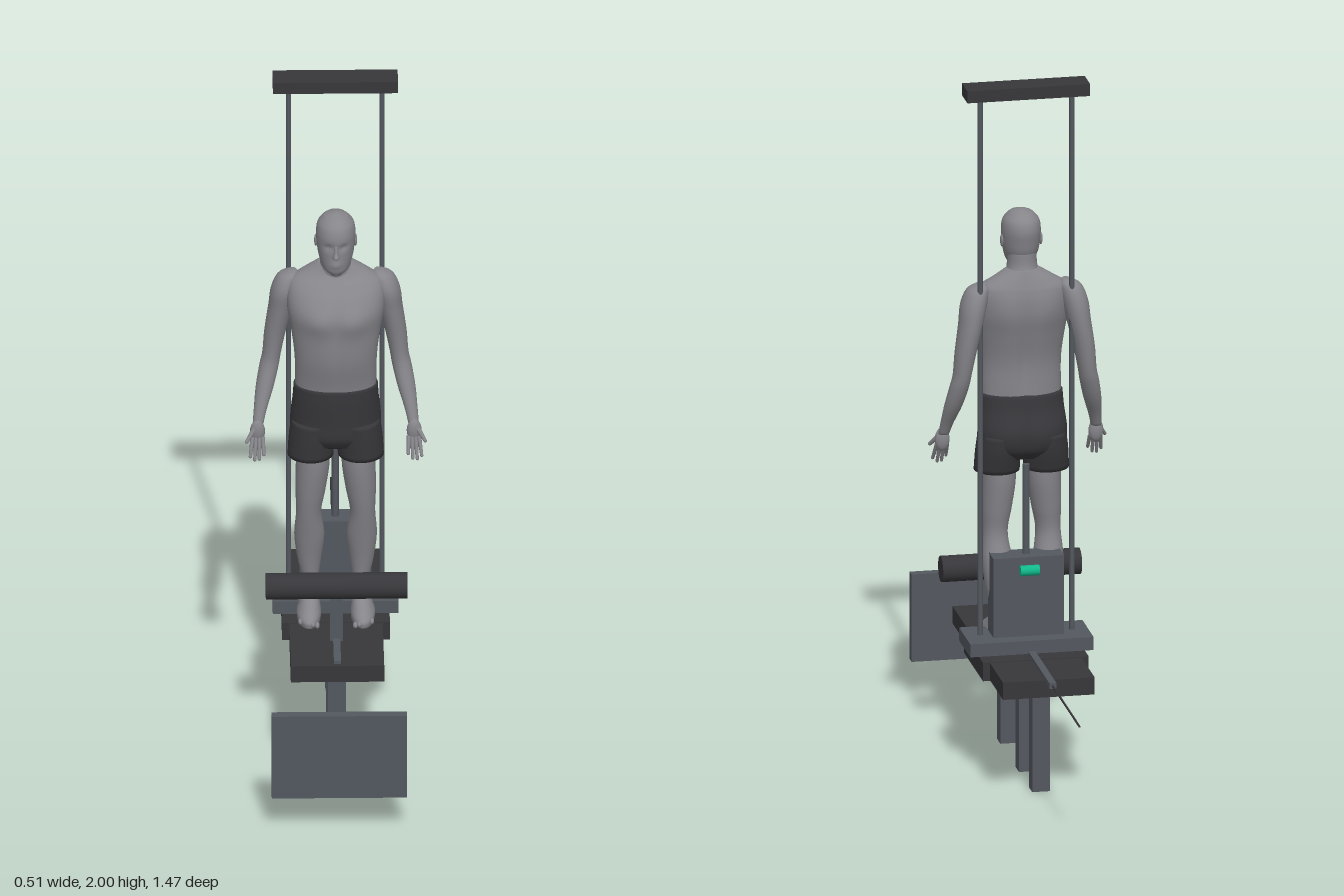
import * as THREE from 'three';

const mat = (name, color) => Object.assign(new THREE.MeshStandardMaterial({ color }), { name });

export function createModel() {
  const skin = mat('greySkin', 0x85858a);
  const dark = mat('charcoal', 0x37363a);
  const steel = mat('steel', 0x53585f);
  const teal = mat('tealAccent', 0x10b88a);

  const model = new THREE.Group();
  model.name = 'exerciseMachineWithFigure';
  const machine = new THREE.Group();
  machine.name = 'machine';
  const figure = new THREE.Group();
  figure.name = 'figure';
  model.add(machine, figure);

  const add = (parent, name, geo, material, x = 0, y = 0, z = 0) => {
    const m = new THREE.Mesh(geo, material);
    m.name = name;
    m.position.set(x, y, z);
    parent.add(m);
    return m;
  };
  // Box given by its half width and its y and z ranges
  const box = (name, material, hx, y0, y1, z0, z1) =>
    add(machine, name, new THREE.BoxGeometry(hx * 2, y1 - y0, z1 - z0), material, 0, (y0 + y1) / 2, (z0 + z1) / 2);
  // Round rod between two points
  const rod = (parent, name, material, a, b, r0, r1 = r0, n = 16) => {
    const p = new THREE.Vector3(...a), q = new THREE.Vector3(...b);
    const mid = p.clone().add(q).multiplyScalar(0.5);
    const m = add(parent, name, new THREE.CylinderGeometry(r1, r0, p.distanceTo(q), n), material, mid.x, mid.y, mid.z);
    m.quaternion.setFromUnitVectors(new THREE.Vector3(0, 1, 0), q.sub(p).normalize());
    return m;
  };
  const ball = (parent, name, material, p, s) =>
    add(parent, name, new THREE.SphereGeometry(1, 16, 12), material, ...p).scale.set(...s);

  // Smooth body form through elliptical sections [y, cx, cz, rx, rz], bottom to top
  const loft = (rows, side = 1, shape = null, n = 28, steps = 5) => {
    const a = new THREE.CatmullRomCurve3(rows.map(r => new THREE.Vector3(r[1] * side, r[0], r[2])));
    const b = new THREE.CatmullRomCurve3(rows.map(r => new THREE.Vector3(r[3], r[0], r[4])));
    const count = (rows.length - 1) * steps, pos = [], idx = [], v = new THREE.Vector3();
    for (let i = 0; i <= count; i++) {
      const c = a.getPoint(i / count), r = b.getPoint(i / count);
      for (let j = 0; j < n; j++) {
        const t = j / n * Math.PI * 2;
        v.set(c.x + Math.cos(t) * r.x, c.y, c.z + Math.sin(t) * r.z);
        if (shape) shape(v, Math.sin(t));
        pos.push(v.x, v.y, v.z);
      }
    }
    for (let i = 0; i < count; i++) for (let j = 0; j < n; j++) {
      const k = (j + 1) % n, p = i * n, q = p + n;
      idx.push(p + j, q + j, p + k, p + k, q + j, q + k);
    }
    const lo = rows[0], hi = rows[rows.length - 1], base = pos.length / 3;
    pos.push(lo[1] * side, lo[0], lo[2], hi[1] * side, hi[0], hi[2]);
    for (let j = 0; j < n; j++) {
      const k = (j + 1) % n, top = count * n;
      idx.push(base, j, k, base + 1, top + k, top + j);
    }
    const g = new THREE.BufferGeometry();
    g.setAttribute('position', new THREE.Float32BufferAttribute(pos, 3));
    g.setIndex(idx);
    g.computeVertexNormals();
    return g;
  };
  const bump = (dx, dy, w, h) => Math.exp(-((dx / w) ** 2) - (dy / h) ** 2);

  // Platform, rail and legs
  box('platform', dark, 0.13, 0.31, 0.36, -0.3, 0.418);
  box('platformCentre', dark, 0.15, 0.308, 0.362, -0.115, 0.155);
  box('rail', steel, 0.01, 0.352, 0.369, -0.357, 0.405);
  rod(machine, 'cable', dark, [0, 0.36, -0.35], [0, 0.36, -0.737], 0.003, 0.003, 8);
  for (const z of [0.288, 0.024, -0.165]) box('leg', steel, 0.025, 0, 0.312, z - 0.025, z + 0.025);

  // Weight tower
  box('towerBase', steel, 0.175, 0.362, 0.4, -0.06, 0.1);
  box('weightStack', steel, 0.1, 0.38, 0.63, -0.015, 0.062);
  rod(machine, 'selectorRod', steel, [0, 0.6, 0.024], [0, 0.89, 0.024], 0.01);
  rod(machine, 'selectorPin', teal, [-0.027, 0.595, -0.027], [0.027, 0.595, -0.027], 0.015);
  for (const s of [-1, 1]) rod(machine, 'guideRod', steel, [s * 0.13, 0.39, 0.024], [s * 0.13, 1.97, 0.024], 0.0075);
  box('topBar', dark, 0.174, 1.965, 2, -0.015, 0.062);

  // Shin roller and front footplate
  box('rollerPost', steel, 0.018, 0.155, 0.51, 0.231, 0.266);
  rod(machine, 'shinRoller', dark, [-0.197, 0.525, 0.25], [0.197, 0.525, 0.25], 0.037, 0.037, 32);
  box('footPanel', steel, 0.188, 0.11, 0.365, 0.709, 0.737);

  // Torso with chest, navel and spine shaping
  add(figure, 'torso', loft([
    [1.04, 0, 0.095, 0.112, 0.065], [1.1, 0, 0.1, 0.113, 0.07], [1.18, 0, 0.108, 0.115, 0.08],
    [1.26, 0, 0.103, 0.125, 0.09], [1.32, 0, 0.097, 0.135, 0.095], [1.37, 0, 0.085, 0.135, 0.082],
    [1.4, 0, 0.075, 0.125, 0.066], [1.425, 0, 0.068, 0.088, 0.05], [1.45, 0, 0.07, 0.046, 0.042],
  ], 1, (v, f) => {
    const x = Math.abs(v.x);
    if (f > 0) v.z += f * (0.01 * bump(x - 0.055, v.y - 1.31, 0.045, 0.04) - 0.006 * bump(x, v.y - 1.28, 0.012, 0.14));
    else v.z -= f * (0.012 * bump(x, v.y - 1.2, 0.02, 0.16) - 0.006 * bump(x - 0.07, v.y - 1.34, 0.04, 0.06));
  }, 48), skin);

  // Neck and head
  add(figure, 'neck', loft([
    [1.39, 0, 0.072, 0.06, 0.045], [1.43, 0, 0.074, 0.048, 0.047],
    [1.46, 0, 0.083, 0.042, 0.045], [1.5, 0, 0.088, 0.042, 0.047],
  ]), skin);
  add(figure, 'head', loft([
    [1.443, 0, 0.135, 0.016, 0.022], [1.46, 0, 0.118, 0.037, 0.048], [1.49, 0, 0.105, 0.048, 0.062],
    [1.53, 0, 0.1, 0.054, 0.067], [1.56, 0, 0.098, 0.055, 0.068], [1.585, 0, 0.097, 0.05, 0.06],
    [1.605, 0, 0.097, 0.032, 0.039], [1.614, 0, 0.097, 0.008, 0.01],
  ], 1, (v, f) => {
    if (f > 0) v.z += f * (0.004 * bump(v.x, v.y - 1.48, 0.016, 0.01)
      - 0.008 * bump(Math.abs(v.x) - 0.021, v.y - 1.533, 0.011, 0.009));
  }, 40, 6), skin);
  add(figure, 'nose', loft([
    [1.5, 0, 0.163, 0.007, 0.008], [1.507, 0, 0.167, 0.01, 0.017],
    [1.52, 0, 0.163, 0.007, 0.014], [1.54, 0, 0.158, 0.005, 0.01],
  ], 1, null, 16), skin);

  // Shorts
  add(figure, 'shorts', loft([
    [0.9, 0, 0.09, 0.105, 0.058], [0.93, 0, 0.083, 0.124, 0.082], [0.98, 0, 0.079, 0.126, 0.088],
    [1.04, 0, 0.092, 0.12, 0.078], [1.085, 0, 0.097, 0.117, 0.073],
  ], 1, (v, f) => { if (f < 0) v.z -= f * 0.012 * bump(v.x, v.y - 0.96, 0.016, 0.06); }, 40), dark);

  for (const s of [-1, 1]) {
    ball(figure, 'ear', skin, [s * 0.055, 1.525, 0.092], [0.005, 0.018, 0.011]);
    add(figure, 'shortsLeg', loft([
      [0.86, 0.07, 0.092, 0.064, 0.066], [0.92, 0.067, 0.086, 0.063, 0.076], [0.97, 0.063, 0.084, 0.06, 0.08],
    ], s), dark);
    add(figure, 'leg', loft([
      [0.37, 0.07, 0.07, 0.028, 0.034], [0.4, 0.07, 0.068, 0.026, 0.033], [0.45, 0.07, 0.068, 0.022, 0.027],
      [0.52, 0.073, 0.066, 0.033, 0.036], [0.6, 0.073, 0.073, 0.042, 0.043], [0.68, 0.075, 0.09, 0.035, 0.041],
      [0.75, 0.07, 0.092, 0.042, 0.05], [0.83, 0.064, 0.092, 0.047, 0.058], [0.9, 0.064, 0.092, 0.046, 0.058],
    ], s), skin);
    add(figure, 'foot', loft([
      [0.365, 0.075, 0.119, 0.033, 0.083], [0.383, 0.075, 0.119, 0.034, 0.083],
      [0.402, 0.073, 0.105, 0.029, 0.066], [0.425, 0.071, 0.085, 0.023, 0.042], [0.45, 0.07, 0.072, 0.02, 0.026],
    ], s), skin);
    for (let i = 0; i < 5; i++) {
      ball(figure, 'toe', skin, [s * (0.053 + i * 0.0115), 0.376, 0.199 - i * 0.006], [0.007, 0.009, 0.013]);
    }
    add(figure, 'arm', loft([
      [0.965, 0.216, 0.112, 0.015, 0.016], [1.0, 0.21, 0.097, 0.018, 0.019], [1.06, 0.197, 0.07, 0.025, 0.028],
      [1.12, 0.184, 0.05, 0.027, 0.032], [1.15, 0.178, 0.045, 0.026, 0.034], [1.22, 0.168, 0.043, 0.03, 0.041],
      [1.3, 0.153, 0.047, 0.034, 0.049], [1.36, 0.142, 0.054, 0.037, 0.05], [1.4, 0.13, 0.056, 0.03, 0.036],
      [1.415, 0.12, 0.058, 0.012, 0.016],
    ], s), skin);
    // Open hand, palm forward and thumb outward
    ball(figure, 'palm', skin, [s * 0.218, 0.945, 0.124], [0.021, 0.034, 0.014]);
    for (let i = 0; i < 4; i++) {
      const x = 0.203 + i * 0.0095, tip = [s * (0.201 + i * 0.0125), [0.888, 0.874, 0.872, 0.882][i], 0.156];
      rod(figure, 'finger', skin, [s * x, 0.93, 0.13], tip, 0.0062, 0.0045, 10);
      ball(figure, 'fingertip', skin, tip, [0.0046, 0.0046, 0.0046]);
    }
    const thumbTip = [s * 0.248, 0.925, 0.15];
    rod(figure, 'thumb', skin, [s * 0.225, 0.957, 0.126], thumbTip, 0.008, 0.005, 10);
    ball(figure, 'thumbTip', skin, thumbTip, [0.005, 0.005, 0.005]);
  }
  return model;
}
